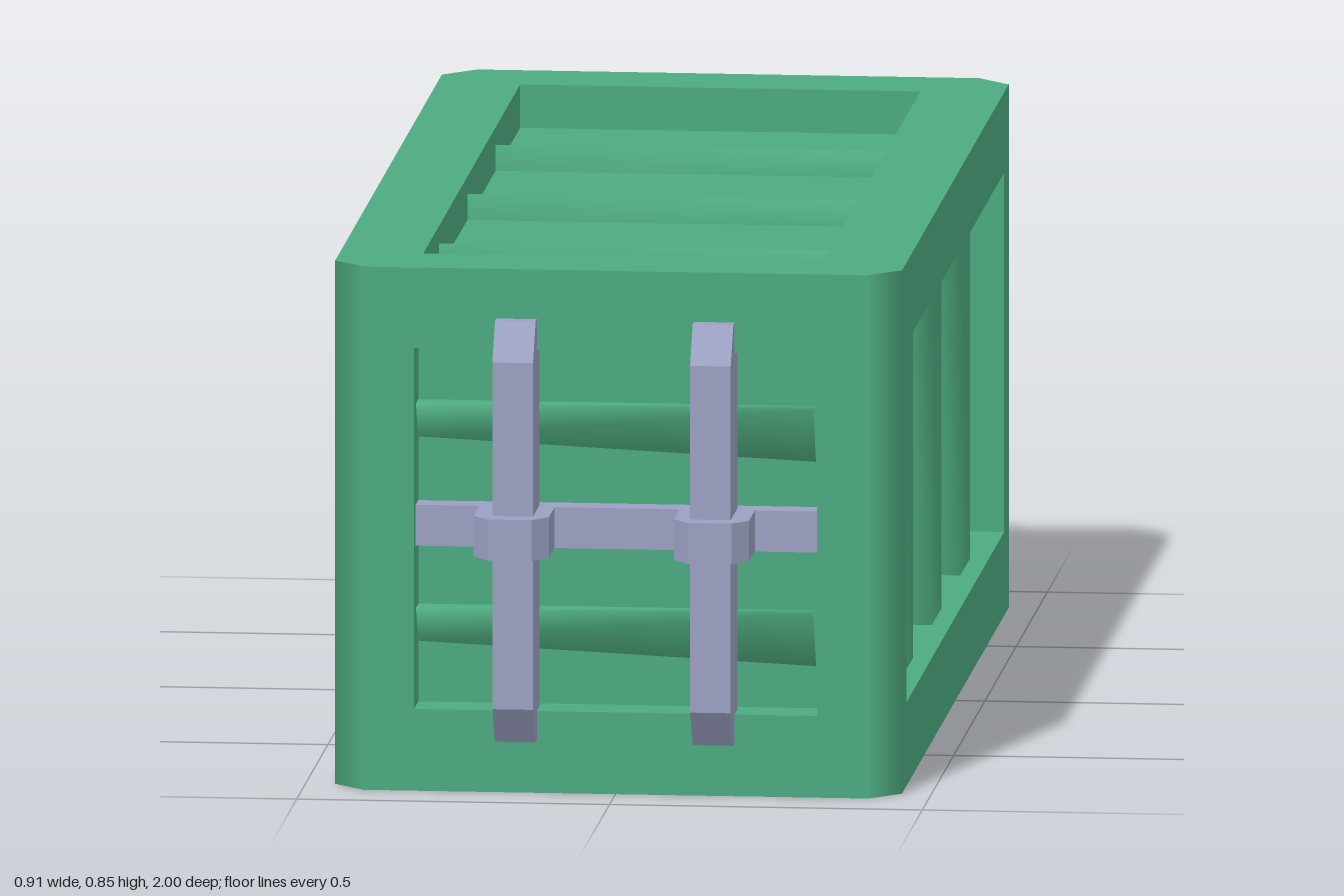
import * as THREE from 'three';

const green = new THREE.MeshStandardMaterial({ color: 0x4daa80 });
green.name = 'containerGreen';
const steel = new THREE.MeshStandardMaterial({ color: 0x9ca0c2 });
steel.name = 'lockSteel';

const HX = 0.453, HZ = 0.905, H = 0.845, CUT = 0.05, DEEP = 0.07;

function add(parent, name, geometry, material, x = 0, y = 0, z = 0) {
  const m = new THREE.Mesh(geometry, material);
  m.name = name;
  m.position.set(x, y, z);
  parent.add(m);
  return m;
}

const polygon = (pts) => new THREE.Shape(pts.map(([x, y]) => new THREE.Vector2(x, y)));
const extrude = (shape, depth) => new THREE.ExtrudeGeometry(shape, { depth, bevelEnabled: false });

// Rectangular opening cut into a shape
function cutHole(shape, hx, y0, y1) {
  shape.holes.push(new THREE.Path([[-hx, y0], [-hx, y1], [hx, y1], [hx, y0]]
    .map(([x, y]) => new THREE.Vector2(x, y))));
  return shape;
}

// Plan outline with four cut corners
function plan() {
  const x = HX - 0.001, z = HZ - 0.001, c = CUT;
  return polygon([[x - c, -z], [x, c - z], [x, z - c], [x - c, z],
    [c - x, z], [-x, z - c], [-x, c - z], [c - x, -z]]);
}

// Smooth strip along x between two [y, z] profiles listed from top to bottom
function ribGeometry(length, a, b = a, shift = 0) {
  const pos = [], index = [], n = a.length;
  a.forEach(([y, z]) => pos.push(-length / 2 + shift, y, z));
  b.forEach(([y, z]) => pos.push(length / 2 + shift, y, z));
  for (let i = 0; i < n - 1; i++) {
    index.push(i + 1, n + i + 1, n + i, i + 1, n + i, i);
  }
  const g = new THREE.BufferGeometry();
  g.setAttribute('position', new THREE.Float32BufferAttribute(pos, 3));
  g.setIndex(index);
  g.computeVertexNormals();
  return g;
}

// Long side: frame with three upright ribs
function sideWall() {
  const g = new THREE.Group();
  g.name = 'sideWall';
  const w = HZ - CUT;
  const shape = cutHole(polygon([[-w, 0], [w, 0], [w, H], [-w, H]]), 0.78, 0.135, 0.715);
  add(g, 'sideFrame', extrude(shape, DEEP), green, 0, 0, HX - DEEP);
  const p = [[0.0775, -0.01], [0.0775, 0.04], [-0.0775, 0.04], [-0.0775, -0.01]];
  for (const x of [-0.455, 0, 0.455]) {
    add(g, 'sideRib', ribGeometry(0.58, p), green, x, 0.425, HX - DEEP).rotation.z = Math.PI / 2;
  }
  return g;
}

// Lock bar with bevelled outer ends
function lockBarGeometry() {
  const s = polygon([[0.86, 0.085], [0.925, 0.085], [0.968, 0.145],
    [0.968, 0.705], [0.925, 0.765], [0.86, 0.765]]);
  return extrude(s, 0.065).translate(0, 0, -0.0325).rotateY(-Math.PI / 2);
}

// Clamp around a lock bar
function clampGeometry() {
  const s = polygon([[-0.06, 0.87], [0.06, 0.87], [0.06, 0.97], [0.035, 1],
    [-0.035, 1], [-0.06, 0.97]]);
  return extrude(s, 0.066).rotateX(Math.PI / 2);
}

// Short end: frame, slanted ribs and locking gear
function endWall() {
  const g = new THREE.Group();
  g.name = 'endWall';
  const w = HX - CUT;
  const shape = cutHole(polygon([[-w, 0], [w, 0], [w, H], [-w, H]]), 0.322, 0.132, 0.715);
  add(g, 'endFrame', extrude(shape, DEEP), green, 0, 0, HZ - DEEP);
  const slope = (drop) => [[0, -0.01], [0, 0.04], [-drop, 0], [-drop, -0.015]];
  for (const y of [0.62, 0.29]) {
    add(g, 'endRib', ribGeometry(0.637, slope(0.06), slope(0.09), -0.005), green, 0, y, HZ - DEEP);
  }
  add(g, 'crossBar', new THREE.BoxGeometry(0.644, 0.066, 0.06), steel, 0, 0.424, 0.848);
  for (const s of [-1, 1]) {
    add(g, 'lockBar', lockBarGeometry(), steel, s * 0.158);
    add(g, 'lockClamp', clampGeometry(), steel, s * 0.16, 0.457);
  }
  return g;
}

export function createModel() {
  const model = new THREE.Group();
  model.name = 'cargoContainer';

  // Recessed panels are the faces of one inner core
  add(model, 'innerCore', new THREE.BoxGeometry(2 * (HX - DEEP), H - DEEP - 0.002, 2 * (HZ - DEEP)),
    green, 0, (H - DEEP) / 2 + 0.001, 0);
  add(model, 'base', extrude(plan(), 0.02).rotateX(-Math.PI / 2), green);
  const roof = cutHole(plan(), 0.32, -0.775, 0.775);
  add(model, 'roofFrame', extrude(roof, DEEP).rotateX(-Math.PI / 2), green, 0, H - DEEP, 0);

  // Softly shaded corner facets
  for (let i = 0; i < 4; i++) {
    const sx = i === 0 || i === 1 ? 1 : -1, sz = i === 0 || i === 3 ? 1 : -1;
    const g = new THREE.CylinderGeometry(CUT, CUT, H, 1, 1, true, i * Math.PI / 2, Math.PI / 2);
    add(model, 'cornerFacet', g, green, sx * (HX - CUT), H / 2, sz * (HZ - CUT));
  }

  // Roof ribs slope up towards the front and drop steeply
  const wedge = [[0.0925, -0.05], [0.0925, 0], [-0.0925, 0.042], [-0.0925, -0.02]];
  for (const z of [-0.473, -0.022, 0.432]) {
    add(model, 'roofRib', ribGeometry(0.64, wedge), green, 0, H - DEEP, z).rotation.x = -Math.PI / 2;
  }

  for (const s of [1, -1]) {
    const side = sideWall();
    side.rotation.y = s * Math.PI / 2;
    const end = endWall();
    end.rotation.y = s === 1 ? 0 : Math.PI;
    model.add(side, end);
  }
  return model;
}
